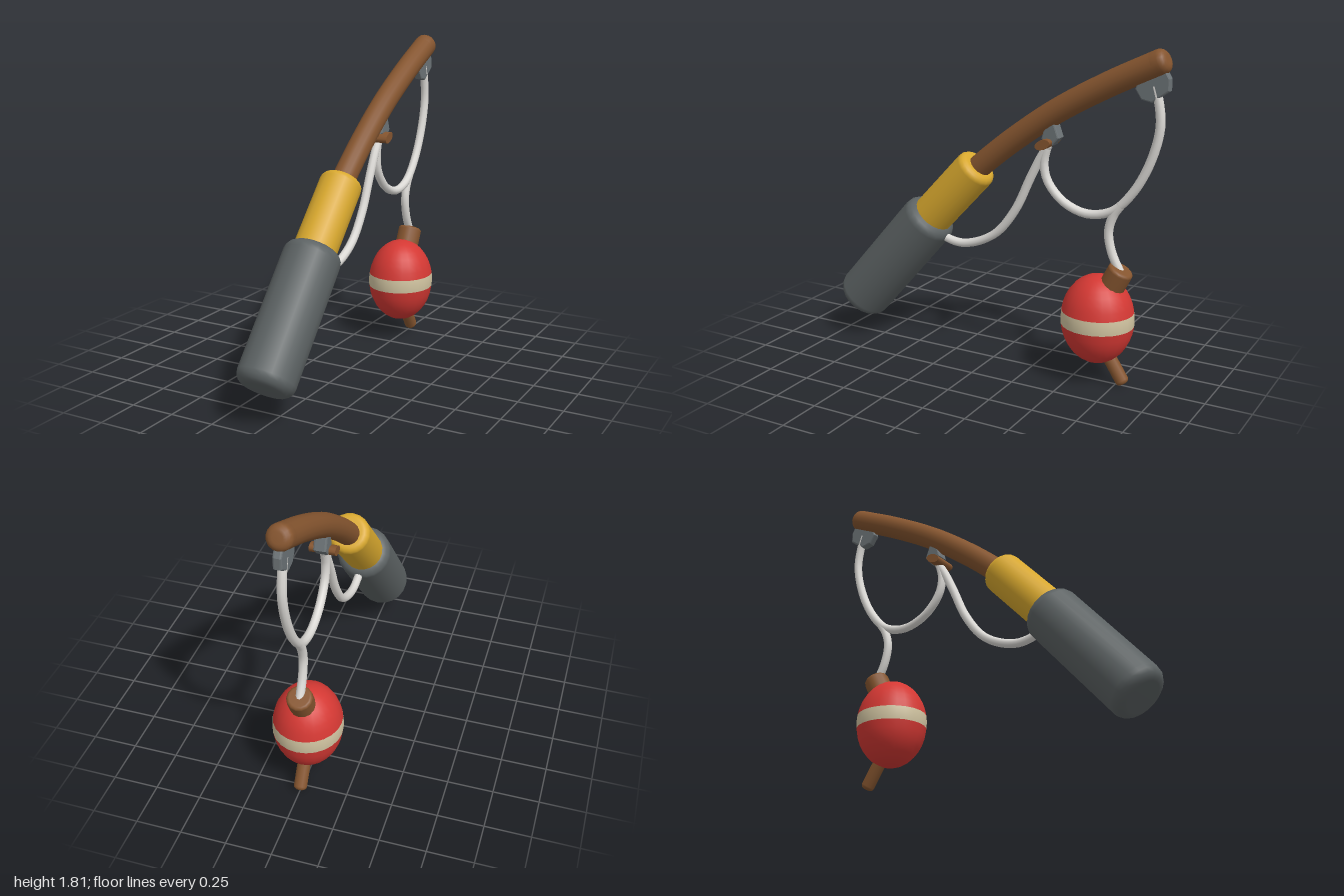
import * as THREE from 'three';

const paint = (name, color) => Object.assign(new THREE.MeshStandardMaterial({ color }), { name });

export function createModel() {
  const model = new THREE.Group();
  model.name = 'fishingRod';

  const gripGrey = paint('gripGrey', 0x5c6263);
  const metal = paint('metalGrey', 0x6c7376);
  const yellow = paint('yellow', 0xd8a82e);
  const brown = paint('woodBrown', 0x85552f);
  const white = paint('lineWhite', 0xdcdad6);
  const red = paint('floatRed', 0xd43833);
  const cream = paint('floatCream', 0xd0c3a0);

  // Everything lies in the x = 0 plane, so points are given as [z, y]
  const point = ([z, y]) => new THREE.Vector3(0, y, z);
  const UP = new THREE.Vector3(0, 1, 0);

  function add(name, geometry, material) {
    const mesh = new THREE.Mesh(geometry, material);
    mesh.name = name;
    model.add(mesh);
    return mesh;
  }

  // Cylinder with rounded rims, running from a to b
  function roundedRod(name, a, b, radius, bevel, material, sides = 20) {
    const start = point(a);
    const axis = point(b).sub(start);
    const length = axis.length();
    const profile = [new THREE.Vector2(0, 0)];
    for (let i = 0; i <= 4; i++) {
      const t = (i / 4) * Math.PI / 2;
      profile.push(new THREE.Vector2(radius - bevel + bevel * Math.sin(t), bevel - bevel * Math.cos(t)));
    }
    for (let i = 0; i <= 4; i++) {
      const t = (i / 4) * Math.PI / 2;
      profile.push(new THREE.Vector2(radius - bevel + bevel * Math.cos(t), length - bevel + bevel * Math.sin(t)));
    }
    profile.push(new THREE.Vector2(0, length));
    const mesh = add(name, new THREE.LatheGeometry(profile, sides), material);
    mesh.position.copy(start);
    mesh.quaternion.setFromUnitVectors(UP, axis.normalize());
    return mesh;
  }

  function tube(name, points, radius, material, sides = 10) {
    const curve = new THREE.CatmullRomCurve3(points.map(point));
    add(name, new THREE.TubeGeometry(curve, 40, radius, sides), material);
    return curve;
  }

  // Handle and collar
  roundedRod('grip', [0.912, 0.2], [0.386, 0.8], 0.157, 0.06, gripGrey);
  roundedRod('collar', [0.45, 0.73], [0.09, 1.115], 0.117, 0.04, yellow);

  // Curved pole with a rounded tip
  const pole = tube('pole', [[0.14, 1.06], [0.05, 1.14], [-0.13, 1.285], [-0.38, 1.46], [-0.665, 1.62], [-0.93, 1.748]], 0.066, brown, 16);
  const tip = roundedRod('poleTip', [-0.87, 1.72], [-0.975, 1.769], 0.066, 0.04, brown, 16);
  tip.userData.length = pole.getLength();

  // Thin line guides hanging under the pole, outlines in (z, y)
  function guide(name, outline, width) {
    const shape = new THREE.Shape(outline.map(([z, y]) => new THREE.Vector2(-z, y)));
    const geometry = new THREE.ExtrudeGeometry(shape, {
      depth: width - 0.02, bevelThickness: 0.01, bevelSize: 0.008, bevelSegments: 2,
    });
    geometry.translate(0, 0, -(width - 0.02) / 2).rotateY(Math.PI / 2);
    add(name, geometry, metal);
  }
  guide('tipGuide', [[-0.82, 1.61], [-0.85, 1.565], [-0.9, 1.555], [-0.985, 1.615], [-0.985, 1.67], [-0.95, 1.73], [-0.84, 1.68]], 0.045);
  guide('middleGuide', [[-0.31, 1.31], [-0.365, 1.285], [-0.395, 1.32], [-0.37, 1.39], [-0.33, 1.38]], 0.07);

  // Wooden peg across the middle guide
  const peg = add('guidePeg', new THREE.CylinderGeometry(0.026, 0.026, 0.14, 12), brown);
  peg.rotation.z = Math.PI / 2;
  peg.scale.z = 1.75;
  const pegHolder = new THREE.Group();
  pegHolder.name = 'guidePegHolder';
  pegHolder.position.set(0, 1.283, -0.325);
  pegHolder.rotation.x = 0.4;
  pegHolder.add(peg);
  model.add(pegHolder);

  // Fishing line
  tube('lowerLine', [[0.35, 0.69], [0.29, 0.663], [0.2, 0.652], [0.08, 0.685], [-0.03, 0.755], [-0.14, 0.9], [-0.22, 1.07], [-0.28, 1.19], [-0.33, 1.27]], 0.024, white);
  tube('upperLine', [[-0.325, 1.27], [-0.305, 1.18], [-0.325, 1.08], [-0.42, 0.975], [-0.56, 0.927], [-0.7, 0.96], [-0.81, 1.07], [-0.9, 1.24], [-0.945, 1.42], [-0.935, 1.54], [-0.91, 1.63]], 0.024, white);
  tube('floatLine', [[-0.75, 1.0], [-0.71, 0.94], [-0.685, 0.85], [-0.705, 0.74], [-0.77, 0.61]], 0.024, white);

  // Float: an egg shape cut into three bands
  const RX = 0.19, RY = 0.247, RZ = 0.2;
  function floatBand(name, lowY, highY, material) {
    const low = Math.asin(lowY / RY), high = Math.asin(highY / RY);
    const profile = [];
    for (let i = 0; i <= 8; i++) {
      const t = low + (high - low) * i / 8;
      profile.push(new THREE.Vector2(Math.max(0, Math.cos(t)), RY * Math.sin(t)));
    }
    const band = add(name, new THREE.LatheGeometry(profile, 24), material);
    band.scale.set(RX, 1, RZ);
    band.position.set(0, 0.358, -0.635);
  }
  floatBand('floatBottom', -RY, -0.03, red);
  floatBand('floatStripe', -0.03, 0.046, cream);
  floatBand('floatTop', 0.046, RY, red);

  // Float cap and bottom pin
  roundedRod('floatCap', [-0.68, 0.49], [-0.765, 0.655], 0.07, 0.018, brown, 14);
  roundedRod('floatPin', [-0.67, 0.21], [-0.797, 0.012], 0.037, 0.022, brown, 12);

  return model;
}
